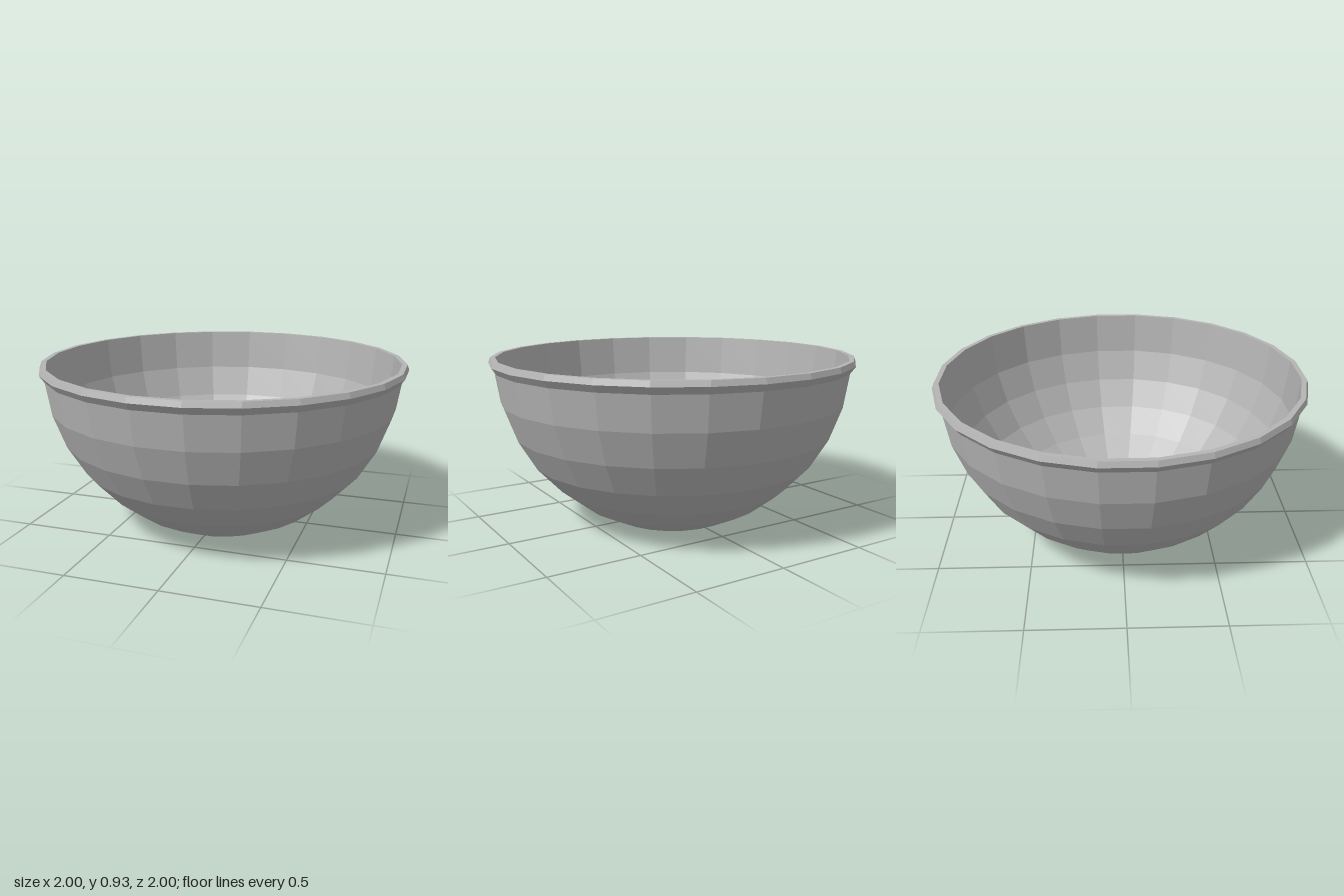
import * as THREE from 'three';

const SIDES = 24;
const STEP = Math.PI / SIDES; // half a side, so a flat side faces the front

export function createModel() {
  const bowl = new THREE.Group();
  bowl.name = 'bowl';
  const grey = new THREE.MeshStandardMaterial({ color: 0xb4b4b4 });
  grey.name = 'grey';

  // Faceted ring from a profile of [distance to flat side, height]
  function addRing(name, profile) {
    const points = profile.map(([r, y]) => new THREE.Vector2(r / Math.cos(STEP), y));
    const geometry = new THREE.LatheGeometry(points, SIDES, STEP).toNonIndexed();
    geometry.computeVertexNormals();
    const mesh = new THREE.Mesh(geometry, grey);
    mesh.name = name;
    bowl.add(mesh);
  }

  // Flat disc for the underside and the inner floor
  function addDisc(name, radius, y, facing) {
    const geometry = new THREE.CircleGeometry(radius / Math.cos(STEP), SIDES, STEP);
    geometry.rotateX(-facing * Math.PI / 2);
    const mesh = new THREE.Mesh(geometry, grey);
    mesh.name = name;
    mesh.position.y = y;
    bowl.add(mesh);
  }

  addDisc('base', 0.34, 0, -1);
  addDisc('floor', 0.34, 0.01, 1);

  const wall = [
    [0.34, 0], [0.51, 0.085], [0.655, 0.2], [0.785, 0.34],
    [0.88, 0.5], [0.945, 0.68], [0.973, 0.86],
  ];
  addRing('outerWall', wall);

  // Flared rim
  addRing('rim', [[0.973, 0.86], [1, 0.897], [0.99, 0.925], [0.963, 0.925]]);

  // Inner wall follows the outer one, slightly raised and drawn in, from top to bottom
  const inner = wall.slice(0, 6).map(([r, y], i) => [r - 0.0016 * i, y + 0.01]);
  addRing('innerWall', [...inner, [0.963, 0.925]].reverse());

  return bowl;
}
